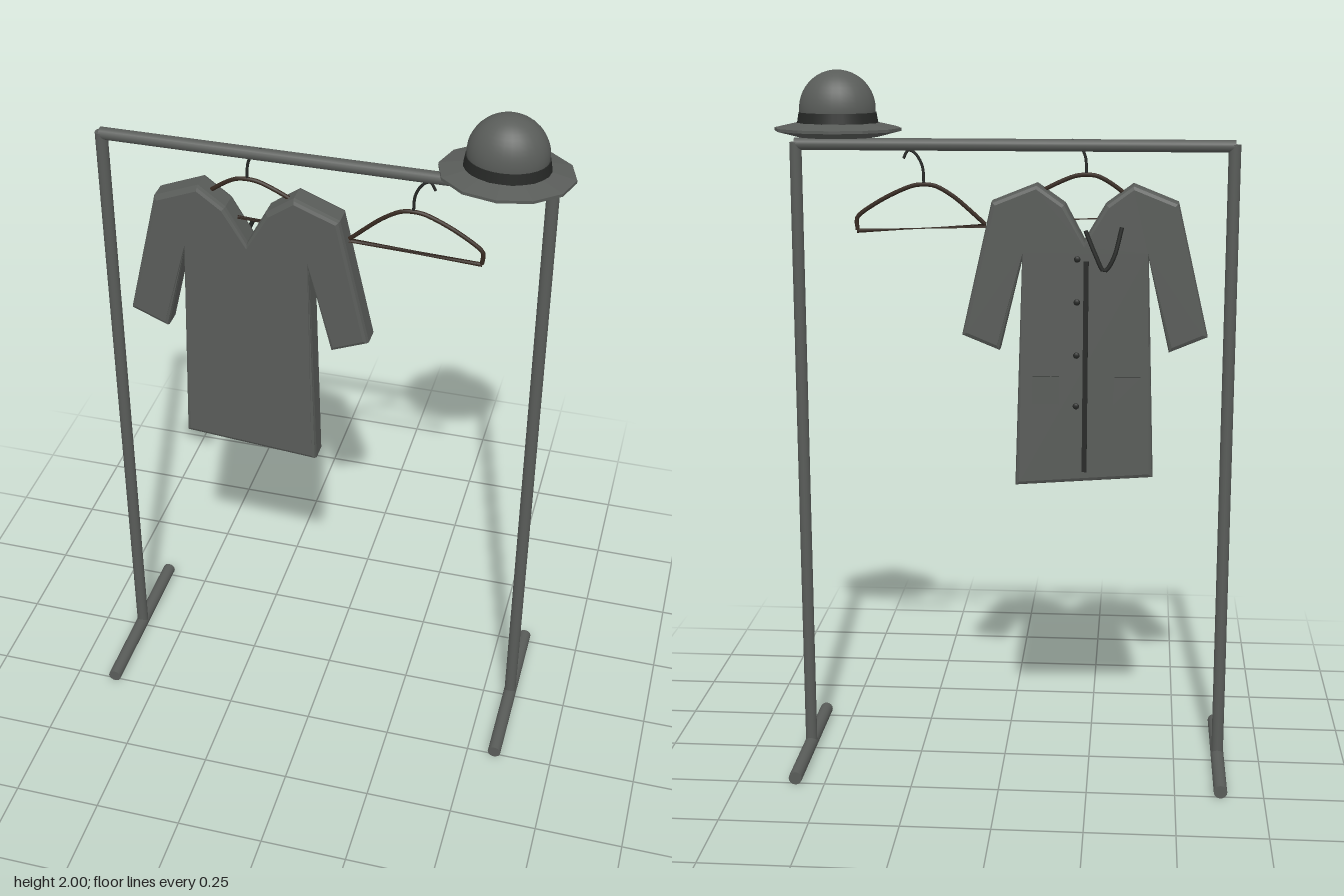
import * as THREE from 'three';

const mat = (name, color, side = THREE.FrontSide) => {
  const m = new THREE.MeshStandardMaterial({ color, side });
  m.name = name;
  return m;
};

export function createModel() {
  const model = new THREE.Group();
  model.name = 'coatRack';
  const grey = mat('rackGrey', 0x595c59);
  const dark = mat('darkTrim', 0x262826);
  const brown = mat('hangerBrown', 0x35281f);

  const add = (name, geo, material, pos = [0, 0, 0], parent = model) => {
    const m = new THREE.Mesh(geo, material);
    m.name = name;
    m.position.set(...pos);
    parent.add(m);
    return m;
  };
  const v3 = pts => pts.map(p => new THREE.Vector3(...p));
  const tube = (pts, r, tension = 0.5, seg = 24) =>
    new THREE.TubeGeometry(new THREE.CatmullRomCurve3(v3(pts), false, 'catmullrom', tension), seg, r, 8);

  // Frame: two posts, two feet and the rail
  for (const x of [-0.628, 0.582]) {
    add('post', new THREE.CylinderGeometry(0.017, 0.017, 1.785, 16), grey, [x, 0.91, 0]);
    add('foot', new THREE.CylinderGeometry(0.019, 0.019, 0.52, 16), grey, [x, 0.019, 0]).rotation.x = Math.PI / 2;
  }
  add('rail', new THREE.CylinderGeometry(0.017, 0.017, 1.215, 16), grey, [-0.023, 1.798, 0]).rotation.z = Math.PI / 2;

  // Hangers: bent arms, bottom bar, short ends and a hook
  const hanger = (x, y) => {
    const g = new THREE.Group();
    g.name = 'hanger';
    g.position.set(x, y, 0);
    model.add(g);
    add('arms', tube([[-0.17, -0.11, 0], [-0.09, -0.04, 0], [-0.03, -0.005, 0], [0.03, -0.005, 0],
      [0.11, -0.04, 0], [0.185, -0.09, 0], [0.187, -0.13, 0]], 0.006, 0.4, 40), brown, [0, 0, 0], g);
    add('bar', tube([[-0.172, -0.115, 0], [0.189, -0.132, 0]], 0.006, 0.5, 1), brown, [0, 0, 0], g);
    add('hook', tube([[0, -0.005, 0], [0.003, 0.045, 0], [0.02, 0.08, 0], [0.042, 0.092, 0], [0.056, 0.07, 0]], 0.004),
      dark, [0, 0, 0], g);
  };
  hanger(0.225, 1.69);
  hanger(-0.225, 1.72);

  // Coat: one bevelled slab with sleeves and a V neck
  const coat = new THREE.Group();
  coat.name = 'coat';
  model.add(coat);
  const outline = [[-0.355, 1.695], [-0.48, 1.645], [-0.567, 1.275], [-0.46, 1.23], [-0.4, 1.49], [-0.422, 0.87],
    [-0.032, 0.84], [-0.05, 1.49], [0.012, 1.23], [0.118, 1.273], [0.035, 1.645], [-0.09, 1.695],
    [-0.168, 1.64], [-0.222, 1.54], [-0.28, 1.64]];
  const body = new THREE.ExtrudeGeometry(new THREE.Shape(outline.map(p => new THREE.Vector2(...p))), {
    depth: 0.05, bevelEnabled: true, bevelThickness: 0.014, bevelSize: 0.012, bevelOffset: -0.012, bevelSegments: 2,
  });
  add('coatBody', body, grey, [0, 0, -0.027], coat);

  // Fastening side: placket, buttons, pockets and neck loop
  add('placket', new THREE.BoxGeometry(0.014, 0.6, 0.008), dark, [-0.228, 1.185, -0.042], coat);
  for (const y of [1.49, 1.37, 1.22, 1.075])
    add('button', new THREE.SphereGeometry(0.009, 10, 8), dark, [-0.203, y, -0.041], coat).scale.z = 0.6;
  const pocketSides = [dark, dark, dark, dark, grey, grey];
  for (const x of [-0.345, -0.118])
    add('pocket', new THREE.BoxGeometry(0.075, 0.08, 0.009), pocketSides, [x, 1.12, -0.043], coat);
  add('neckLoop', tube([[-0.325, 1.58, -0.042], [-0.305, 1.5, -0.049], [-0.278, 1.46, -0.051],
    [-0.255, 1.5, -0.049], [-0.225, 1.57, -0.042]], 0.006), dark, [0, 0, 0], coat);

  // Hat: faceted brim, dark band and smooth crown, slightly oval
  const hat = new THREE.Group();
  hat.name = 'hat';
  hat.position.x = 0.462;
  hat.scale.z = 0.84;
  model.add(hat);
  const v2 = pts => pts.map(p => new THREE.Vector2(...p));
  const brim = new THREE.LatheGeometry(
    v2([[0, 1.815], [0.11, 1.818], [0.177, 1.835], [0.177, 1.843], [0.11, 1.858], [0, 1.858]]), 12).toNonIndexed();
  brim.computeVertexNormals();
  add('brim', brim, grey, [0, 0, 0], hat);
  add('band', new THREE.CylinderGeometry(0.108, 0.114, 0.034, 24), dark, [0, 1.868, 0], hat);
  add('crown', new THREE.SphereGeometry(0.106, 28, 14, 0, Math.PI * 2, 0, Math.PI * 0.62), grey, [0, 1.894, 0], hat);

  return model;
}
